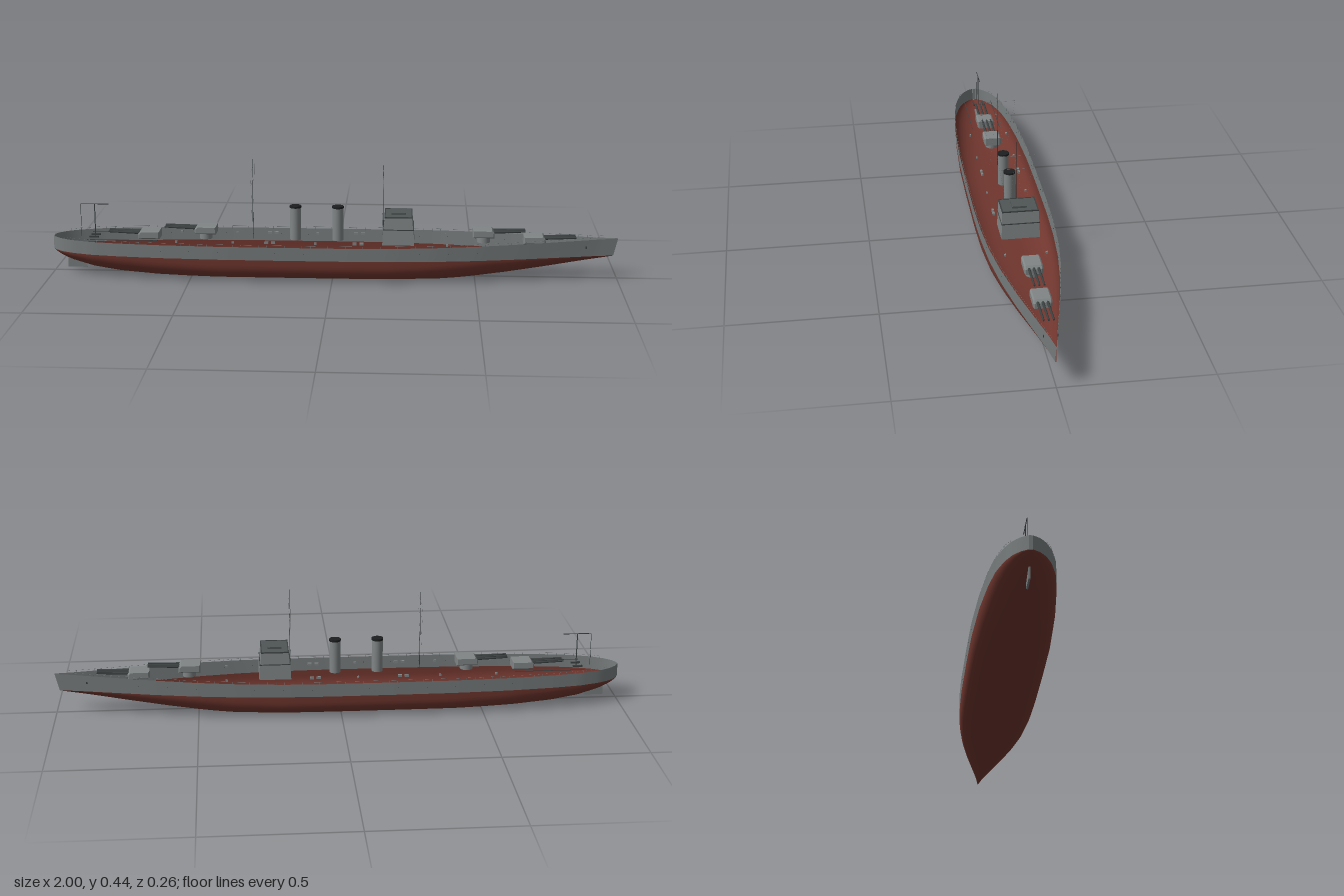
import * as THREE from 'three';
import { mergeGeometries } from 'three/addons/utils/BufferGeometryUtils.js';

const mat = (name, color, side = THREE.FrontSide) => {
  const m = new THREE.MeshStandardMaterial({ color, side });
  m.name = name;
  return m;
};

// Linear lookup in a list of [x, value] pairs
function lookup(table, x) {
  if (x <= table[0][0]) return table[0][1];
  for (let i = 1; i < table.length; i++) {
    const [x0, a] = table[i - 1], [x1, b] = table[i];
    if (x <= x1) return a + (b - a) * (x - x0) / (x1 - x0);
  }
  return table[table.length - 1][1];
}

// Waterline, level on which the upper works sit, end of the waterline
const WATER = 0.083, MOUNT = 0.126, BOW = 0.985;
const beamTable = [[-1, 0.006], [-0.985, 0.03], [-0.96, 0.05], [-0.92, 0.07], [-0.85, 0.091], [-0.75, 0.106],
  [-0.6, 0.12], [-0.4, 0.129], [-0.2, 0.131], [0.05, 0.131], [0.2, 0.127], [0.35, 0.117], [0.5, 0.098],
  [0.65, 0.071], [0.8, 0.039], [0.92, 0.013], [0.985, 0.002]];
const keelTable = [[-1, 0.08], [-0.97, 0.06], [-0.93, 0.043], [-0.85, 0.022], [-0.75, 0.009], [-0.62, 0.002],
  [-0.5, 0], [0.38, 0], [0.44, 0.003], [0.5, 0.008], [0.6, 0.02], [0.75, 0.042], [0.9, 0.068], [0.985, 0.082]];
const roundTable = [[-1, 1.6], [-0.7, 2.3], [-0.4, 3.1], [0.2, 3.1], [0.5, 2.1], [0.985, 1.2]];
const beam = (x) => lookup(beamTable, x);
const sheer = (x) => 0.13 + 0.015 * Math.max(0, (x - 0.1) / 0.885) ** 1.3;

// Topside point: u = 0 at the waterline, 1 at the rail; the stem rakes forward
function topside(x, u, s) {
  const px = -1 + (x + 1) * (1 + u * (2 / 1.985 - 1));
  return [px, WATER + (sheer(x) - WATER) * u, s * beam(x) * (1 + 0.01 * u)];
}

// Surface from cross-sections along the hull
function loft(section, cols) {
  const rows = 72, pos = [], idx = [];
  for (let i = 0; i <= rows; i++) {
    const t = i / rows, e = 0.45 * t + 0.55 * (1 - Math.cos(Math.PI * t)) / 2;
    const x = -1 + e * (BOW + 1);
    for (let j = 0; j <= cols; j++) pos.push(...section(x, j / cols));
  }
  for (let i = 0; i < rows; i++) for (let j = 0; j < cols; j++) {
    const a = i * (cols + 1) + j, b = a + 1, c = a + cols + 1, d = c + 1;
    idx.push(a, b, c, b, d, c);
  }
  const g = new THREE.BufferGeometry();
  g.setAttribute('position', new THREE.Float32BufferAttribute(pos, 3));
  g.setIndex(idx);
  g.computeVertexNormals();
  return g;
}

// Thin round bar between two points
function bar(a, b, r, r2 = r, sides = 6) {
  const p = new THREE.Vector3(...a), q = new THREE.Vector3(...b);
  const d = q.clone().sub(p);
  const g = new THREE.CylinderGeometry(r2, r, d.length(), sides);
  g.applyQuaternion(new THREE.Quaternion().setFromUnitVectors(new THREE.Vector3(0, 1, 0), d.normalize()));
  const c = p.add(q).multiplyScalar(0.5);
  return g.translate(c.x, c.y, c.z);
}

const box = (w, h, d, x, y, z) => new THREE.BoxGeometry(w, h, d).translate(x, y, z);

// Box from y0 to y1 whose top is scaled by kx, kz
function taperBox(w, d, y0, y1, kx, kz, x) {
  const g = new THREE.BoxGeometry(w, y1 - y0, d), p = g.attributes.position;
  for (let i = 0; i < p.count; i++) if (p.getY(i) > 0) p.setXYZ(i, p.getX(i) * kx, p.getY(i), p.getZ(i) * kz);
  g.computeVertexNormals();
  return g.translate(x, (y0 + y1) / 2, 0);
}

export function createModel() {
  const ship = new THREE.Group();
  ship.name = 'warship';
  const grey = mat('hullGrey', 0x777c7c, THREE.DoubleSide);
  const light = mat('superstructureGrey', 0x808585);
  const roofGrey = mat('roofGrey', 0x505656);
  const dark = mat('darkGrey', 0x3c4142);
  const black = mat('black', 0x1c1e1f);
  const red = mat('hullRed', 0x70362e, THREE.DoubleSide);
  const add = (name, g, m, parent = ship) => {
    const mesh = new THREE.Mesh(Array.isArray(g) ? mergeGeometries(g) : g, m);
    mesh.name = name;
    parent.add(mesh);
  };

  // Open hull shell: red below the waterline, grey sides above
  add('underwaterHull', loft((x, v) => {
    const a = v * Math.PI, p = 2 / lookup(roundTable, x), c = Math.cos(a);
    const k = lookup(keelTable, x);
    return [x, WATER - (WATER - k) * Math.max(0, Math.sin(a)) ** p, beam(x) * Math.sign(c) * Math.abs(c) ** p];
  }, 28), red);
  add('leftTopside', loft((x, v) => topside(x, 1 - v, 1), 3), grey);
  add('rightTopside', loft((x, v) => topside(x, v, -1), 3), grey);
  add('sternPlate', box(0.004, 0.047, 0.011, -0.998, 0.1065, 0), grey);
  add('rudder', box(0.068, 0.048, 0.006, -0.918, 0.036, 0), grey);

  // Railings, anchors and portholes
  const rails = [], ports = [], anchors = [];
  for (const s of [1, -1]) {
    const railTop = (x) => {
      const [px, py, pz] = topside(x, 1, s);
      return [px, py + 0.007, pz * 0.98];
    };
    for (let x = -0.95; x < 0.93; x += 0.03) {
      const [px, py, pz] = railTop(x);
      rails.push(bar([px, py - 0.011, pz], [px, py, pz], 0.0005, 0.0005, 4));
      rails.push(bar([px, py, pz], railTop(x + 0.03), 0.0003, 0.0003, 4));
    }
    for (let x = -0.7; x < 0.75; x += 0.1) {
      const [px, py, pz] = topside(x, 0.55, s);
      ports.push(bar([px, py, pz - s * 0.002], [px, py, pz + s * 0.0006], 0.0008, 0.0008, 8));
    }
    const [ax, ay, az] = topside(0.88, 0.55, s);
    anchors.push(box(0.006, 0.008, 0.004, ax, ay, az));
  }
  add('railings', rails, grey);
  add('portholes', ports, black);
  add('anchors', anchors, dark);

  // Triple-gun turrets: x, base of the gun house, firing direction
  const turrets = [[0.53, 0.149, 1], [0.708, 0.129, 1], [-0.453, 0.149, -1], [-0.655, 0.129, -1]];
  turrets.forEach(([x, y, dir], n) => {
    const t = new THREE.Group();
    t.name = 'turret' + (n + 1);
    ship.add(t);
    const body = new THREE.Shape([[-0.035, 0], [0.033, 0], [0.033, 0.013], [0.026, 0.021], [-0.035, 0.021]]
      .map(([a, b]) => new THREE.Vector2(a, b)));
    const house = new THREE.ExtrudeGeometry(body, { depth: 0.052, bevelSize: 0.004, bevelThickness: 0.005, bevelSegments: 1 });
    house.translate(0, 0, -0.026);
    if (dir < 0) house.rotateY(Math.PI);
    add('gunHouse', house.translate(x, y + 0.001, 0), light, t);
    add('barbette', new THREE.CylinderGeometry(0.023, 0.023, y - MOUNT + 0.006, 20)
      .translate(x, (y + MOUNT) / 2 + 0.003, 0), light, t);
    const guns = [-0.016, 0, 0.016].map((z) =>
      bar([x + dir * 0.03, y + 0.016, z], [x + dir * 0.145, y + 0.02, z], 0.0048, 0.0032, 8));
    add('gunBarrels', guns, dark, t);
  });

  // Bridge tower with a rimmed roof
  const bridge = new THREE.Group();
  bridge.name = 'bridge';
  ship.add(bridge);
  add('lowerBridge', taperBox(0.112, 0.132, MOUNT, 0.18, 0.95, 0.97, 0.23), light, bridge);
  add('bridgeLedge', box(0.108, 0.003, 0.131, 0.23, 0.181, 0), dark, bridge);
  add('upperBridge', taperBox(0.103, 0.128, 0.182, 0.224, 0.92, 0.97, 0.23), light, bridge);
  add('bridgeRoof', box(0.092, 0.002, 0.122, 0.23, 0.2245, 0), roofGrey, bridge);
  add('roofRim', [1, -1].flatMap((s) => [
    box(0.098, 0.004, 0.004, 0.23, 0.225, s * 0.061),
    box(0.004, 0.004, 0.122, 0.23 + s * 0.047, 0.225, 0),
  ]), dark, bridge);
  add('roofHouse', box(0.05, 0.007, 0.05, 0.23, 0.229, 0), roofGrey, bridge);

  // Funnels
  for (const x of [-0.134, 0.016]) {
    const f = new THREE.Group();
    f.name = 'funnel';
    ship.add(f);
    add('funnelPipe', new THREE.CylinderGeometry(0.0195, 0.0195, 0.242 - MOUNT, 24)
      .translate(x, (0.242 + MOUNT) / 2, 0), light, f);
    add('funnelCap', new THREE.CylinderGeometry(0.0205, 0.0205, 0.007, 24).translate(x, 0.2455, 0), black, f);
  }

  // Masts with yards and rigging
  for (const [x, top] of [[0.175, 0.435], [-0.285, 0.415]]) {
    const m = new THREE.Group();
    m.name = 'mast';
    ship.add(m);
    add('mastPole', bar([x, MOUNT, 0], [x, top, 0], 0.0014, 0.0007), dark, m);
    add('yards', [0.333, 0.383].map((y) => bar([x, y, -0.065], [x, y, 0.065], 0.0004)), grey, m);
    const lines = [];
    for (const s of [1, -1]) {
      lines.push(bar([x, 0.383, s * 0.065], [x, 0.21, s * 0.035], 0.0002, 0.0002, 4));
      lines.push(bar([x, 0.39, 0], [x, MOUNT, s * 0.03], 0.0002, 0.0002, 4));
    }
    add('rigging', lines, grey, m);
  }

  // Stern crane and aircraft catapults
  add('crane', [
    bar([-0.85, MOUNT, 0], [-0.85, 0.245, 0], 0.0018),
    bar([-0.9, 0.245, 0], [-0.8, 0.245, 0], 0.0014),
    bar([-0.9, MOUNT, 0], [-0.9, 0.243, 0], 0.0008),
  ], dark);
  add('craneBases', [1, -1].map((s) => box(0.034, 0.006, 0.005, -0.852, MOUNT + 0.003, s * 0.018)), dark);
  add('catapults', [1, -1].map((s) => box(0.25, 0.002, 0.002, -0.745, MOUNT + 0.002, s * 0.053)), dark);

  // Deck fittings along both sides
  const fittings = [];
  for (const s of [1, -1]) {
    for (const x of [-0.232, -0.208, 0.078, 0.102])
      fittings.push(box(0.014, 0.008, 0.008, x, MOUNT + 0.004, s * 0.068));
    for (const x of [-0.55, -0.35, -0.06, 0.4])
      fittings.push(box(0.008, 0.007, 0.006, x, MOUNT + 0.0035, s * 0.07));
  }
  add('deckFittings', fittings, light);
  return ship;
}
